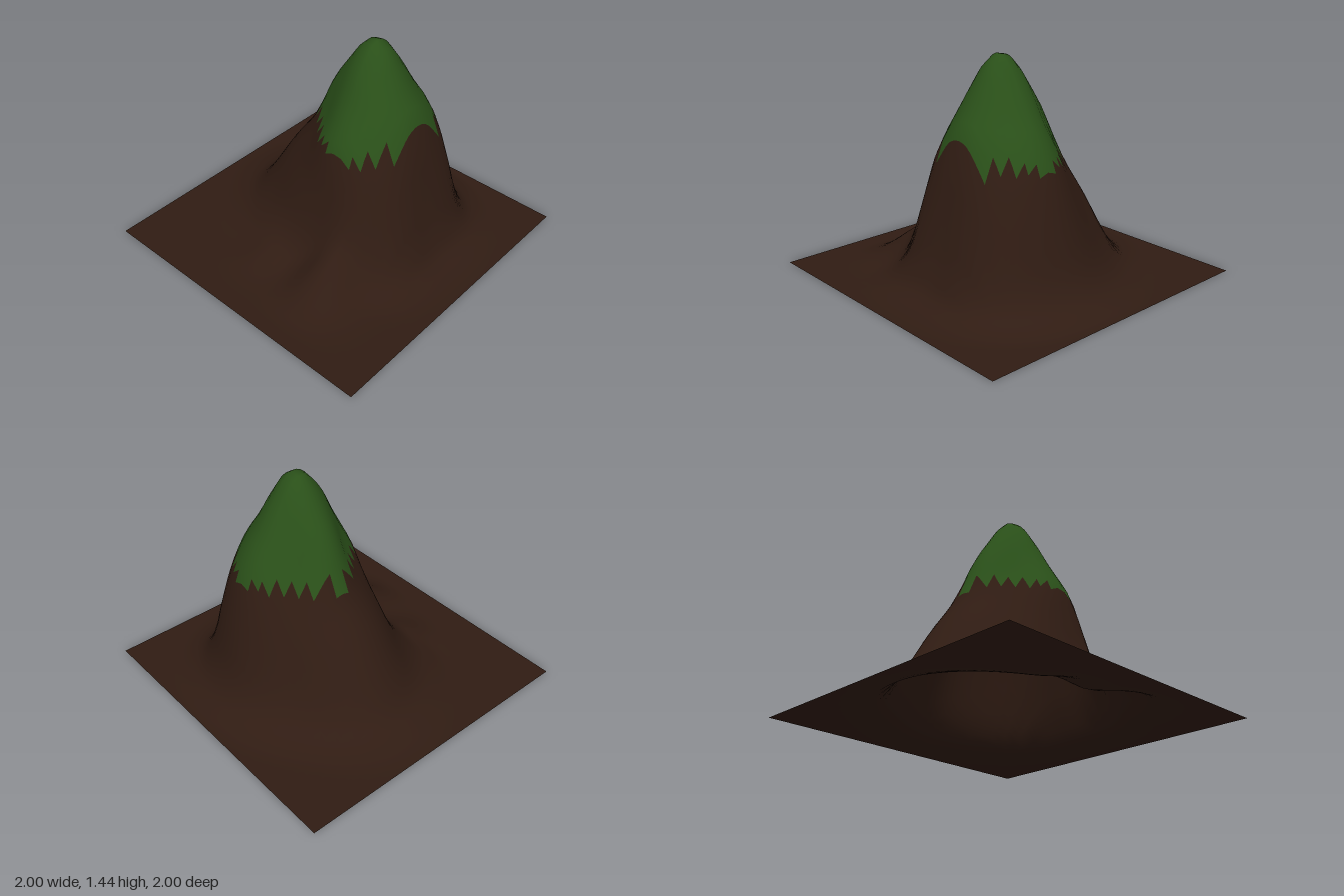
import * as THREE from 'three';

// Contour heights, and the distance of each contour from the summit
// in eight directions: +x, +x+z, +z, -x+z, -x, -x-z, -z, +x-z
const LEVELS = [1.445, 1.4, 1.27, 1.1, 0.95, 0.78, 0.5, 0.25, 0.1, 0.03, 0];
const RADII = [
  [0, 0.08, 0.17, 0.27, 0.36, 0.435, 0.51, 0.57, 0.65, 0.75, 0.86],
  [0, 0.08, 0.16, 0.25, 0.34, 0.41, 0.49, 0.55, 0.62, 0.72, 0.85],
  [0, 0.08, 0.16, 0.25, 0.34, 0.37, 0.43, 0.47, 0.53, 0.63, 0.77],
  [0, 0.08, 0.16, 0.25, 0.33, 0.40, 0.48, 0.55, 0.63, 0.73, 0.85],
  [0, 0.08, 0.17, 0.25, 0.33, 0.405, 0.46, 0.52, 0.60, 0.70, 0.82],
  [0, 0.08, 0.16, 0.23, 0.28, 0.36, 0.50, 0.62, 0.75, 0.88, 1.00],
  [0, 0.08, 0.17, 0.28, 0.35, 0.42, 0.61, 0.76, 0.86, 1.00, 1.17],
  [0, 0.08, 0.16, 0.24, 0.30, 0.38, 0.50, 0.60, 0.70, 0.82, 0.95],
];
const SUMMIT = { x: 0.14, z: 0.17 };
const GRASS_LINE = 0.765;

function catmull(a, b, c, d, t) {
  return b + 0.5 * t * (c - a + t * (2 * a - 5 * b + 4 * c - d + t * (3 * (b - c) + d - a)));
}

// Height of the main peak, from the contours blended around the summit
function peakHeight(x, z) {
  const dx = x - SUMMIT.x, dz = z - SUMMIT.z;
  const r = Math.hypot(dx, dz);
  const a = ((Math.atan2(dz, dx) / (Math.PI / 4)) + 8) % 8;
  const k = Math.floor(a), t = a - k;
  const radii = LEVELS.map((_, i) => catmull(
    RADII[(k + 7) % 8][i], RADII[k % 8][i], RADII[(k + 1) % 8][i], RADII[(k + 2) % 8][i], t));
  const last = LEVELS.length - 1;
  if (r >= radii[last]) return 0;
  let i = 0;
  while (r > radii[i + 1]) i++;
  // smooth curve between two contours, level at the summit and at the foot
  const slope = (n) => (n === 0 || n === last) ? 0
    : (LEVELS[n + 1] - LEVELS[n - 1]) / (radii[n + 1] - radii[n - 1]);
  const w = radii[i + 1] - radii[i], s = (r - radii[i]) / w;
  const s2 = s * s, s3 = s2 * s;
  return LEVELS[i] * (2 * s3 - 3 * s2 + 1) + LEVELS[i + 1] * (3 * s2 - 2 * s3)
    + w * (slope(i) * (s3 - 2 * s2 + s) + slope(i + 1) * (s3 - s2));
}

// Low spur running out from the foot of the peak on the -x side
function spurHeight(x, z) {
  const along = THREE.MathUtils.smoothstep(x, -0.9, -0.35) * (1 - THREE.MathUtils.smoothstep(x, -0.35, 0));
  const main = 0.26 * along * Math.exp(-(((z - 0.35) / 0.19) ** 2));
  const knoll = 0.06 * Math.exp(-(((x + 0.55) / 0.15) ** 2) - (((z + 0.12) / 0.18) ** 2));
  return main + knoll;
}

export function createModel() {
  const group = new THREE.Group();
  group.name = 'mountain';

  // Terrain grid raised by the height rule
  const terrain = new THREE.PlaneGeometry(2, 2, 64, 32).rotateX(-Math.PI / 2);
  const pos = terrain.attributes.position;
  for (let i = 0; i < pos.count; i++) {
    const x = pos.getX(i), z = pos.getZ(i);
    const peak = peakHeight(x, z), spur = spurHeight(x, z);
    const edge = THREE.MathUtils.smoothstep(1 - Math.max(Math.abs(x), Math.abs(z)), 0, 0.12);
    pos.setY(i, Math.max(0, Math.hypot(peak, spur) * edge));
  }
  terrain.computeVertexNormals();

  // Whole grid cells above the grass line are green, the rest is soil
  const index = terrain.index.array, grass = [], soil = [];
  for (let q = 0; q < index.length; q += 6) {
    const cell = Array.from(index.slice(q, q + 6));
    const low = Math.min(...cell.map((v) => pos.getY(v)));
    (low > GRASS_LINE ? grass : soil).push(...cell);
  }

  const addPart = (name, faces, color) => {
    const geometry = new THREE.BufferGeometry();
    geometry.setAttribute('position', pos);
    geometry.setAttribute('normal', terrain.attributes.normal);
    geometry.setIndex(faces);
    const mesh = new THREE.Mesh(geometry, new THREE.MeshStandardMaterial({ color, side: THREE.DoubleSide }));
    mesh.name = name;
    group.add(mesh);
  };
  addPart('soilSlopes', soil, 0x301c13);
  addPart('grassCap', grass, 0x2a5019);

  return group;
}
